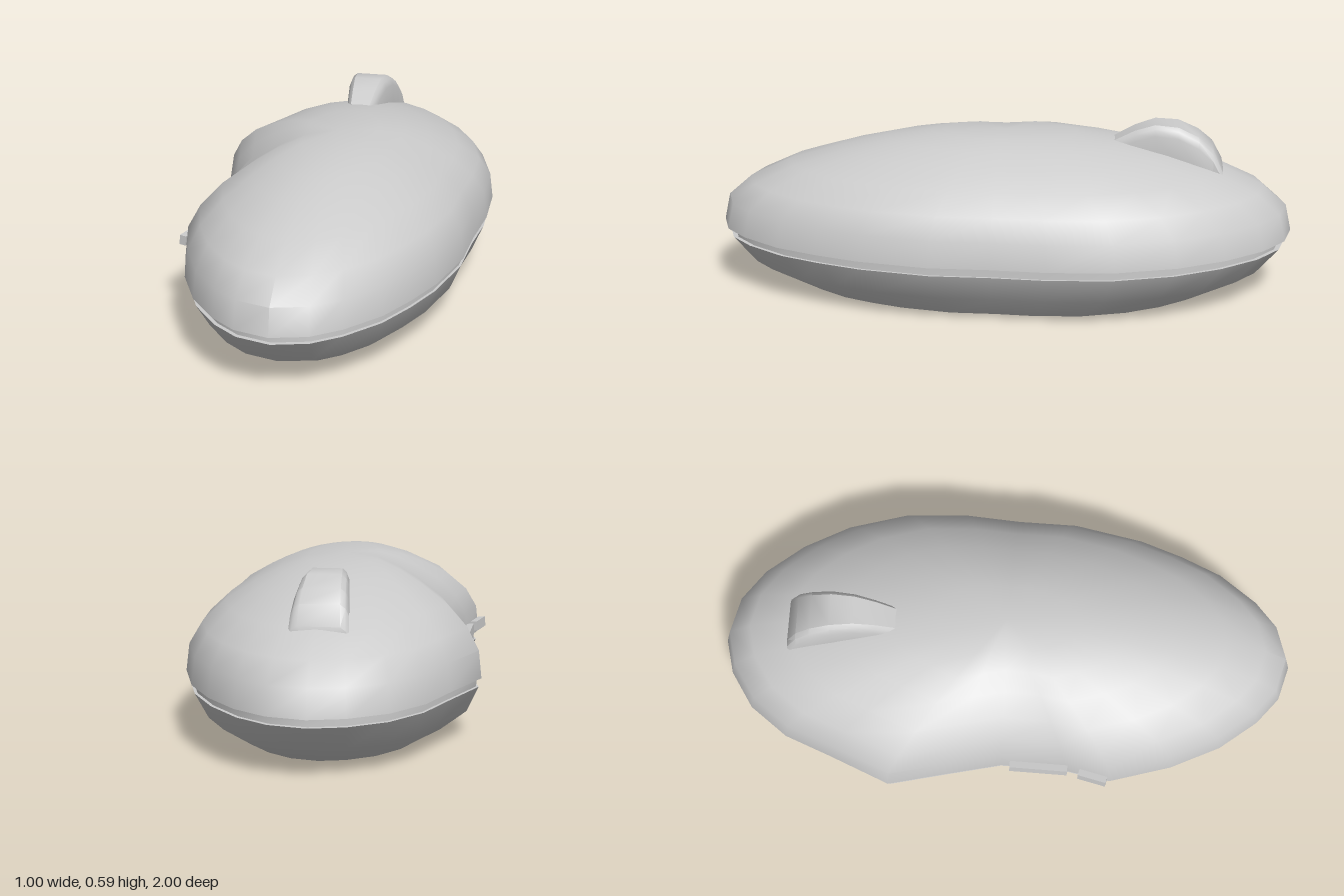
import * as THREE from 'three';
import { mergeVertices, toCreasedNormals } from 'three/addons/utils/BufferGeometryUtils.js';

const material = new THREE.MeshStandardMaterial({ color: 0xcccccc });

// Skin a stack of closed rings (each ring clockwise as seen from the last one).
function loft(rings, crease) {
  const n = rings[0].length;
  const index = [];
  for (let i = 0; i < rings.length - 1; i++) {
    for (let j = 0; j < n; j++) {
      const a = i * n + j, b = i * n + (j + 1) % n;
      index.push(a, a + n, b, b, a + n, b + n);
    }
  }
  const geometry = new THREE.BufferGeometry();
  geometry.setAttribute('position', new THREE.Float32BufferAttribute(rings.flat(2), 3));
  geometry.setIndex(index);
  return toCreasedNormals(mergeVertices(geometry), crease);
}

// Plan outline (x, z): from the wheel end along the left, back along the right with its thumb scoop.
const outline = [
  [0, -1], [0.13, -0.97], [0.24, -0.89], [0.345, -0.76], [0.43, -0.6], [0.49, -0.39], [0.5, -0.17],
  [0.485, 0.02], [0.48, 0.23], [0.43, 0.47], [0.375, 0.62], [0.31, 0.76], [0.21, 0.89], [0.12, 0.965],
  [0, 1], [-0.12, 0.965], [-0.21, 0.89], [-0.31, 0.76], [-0.39, 0.59], [-0.45, 0.38], [-0.42, 0.22],
  [-0.412, 0], [-0.452, -0.18], [-0.5, -0.39], [-0.41, -0.6], [-0.345, -0.76], [-0.245, -0.89], [-0.12, -0.97],
];
const ring = ([scale, y]) => outline.map(([x, z]) => [x * scale, y, z * scale]);

export function createModel() {
  const group = new THREE.Group();
  const add = (name, geometry) => {
    const mesh = new THREE.Mesh(geometry, material);
    mesh.name = name;
    group.add(mesh);
    return mesh;
  };

  // Flat base, lower shell, seam groove and domed upper shell
  add('base', loft([[0, 0], [0.715, 0]].map(ring), 0.75));
  add('lowerShell', loft([[0.715, 0], [0.9, 0.085], [0.982, 0.177], [0.965, 0.177]].map(ring), 0.75));
  add('seamGroove', loft([[0.965, 0.177], [0.965, 0.208]].map(ring), 0.75));
  add('upperShell', loft([
    [0.965, 0.208], [1, 0.208], [0.98, 0.3], [0.9, 0.37], [0.76, 0.435],
    [0.58, 0.488], [0.42, 0.525], [0.25, 0.55], [0, 0.557],
  ].map(ring), 0.75));

  // Scroll wheel: wedge widening toward the tip, rounded along its top (z, half width, top y)
  const stations = [
    [-0.38, 0.05, 0.53], [-0.45, 0.06, 0.567], [-0.52, 0.07, 0.59], [-0.6, 0.08, 0.584],
    [-0.67, 0.087, 0.552], [-0.72, 0.093, 0.51], [-0.755, 0.098, 0.445],
  ];
  const sections = stations.map(([z, w, y]) => [
    [w, y - 0.12, z], [w, y - 0.035, z], [w * 0.88, y - 0.012, z], [w * 0.7, y, z],
    [-w * 0.7, y, z], [-w * 0.88, y - 0.012, z], [-w, y - 0.035, z], [-w, y - 0.12, z],
  ]);
  const cap = ([z, , y]) => sections[0].map(() => [0, y - 0.06, z]);
  const wheel = add('scrollWheel',
    loft([cap(stations[0]), ...sections, cap(stations.at(-1))], 0.6));
  wheel.position.x = -0.006;

  // Two thumb buttons in the scoop (x, z, length, turn)
  [[-0.427, 0.13, 0.2, -0.03], [-0.452, 0.318, 0.1, -0.24]].forEach(([x, z, length, turn], i) => {
    const button = add(i ? 'frontThumbButton' : 'rearThumbButton', new THREE.BoxGeometry(0.024, 0.034, length));
    button.position.set(x, 0.245, z);
    button.rotation.set(0, turn, -0.1);
  });

  return group;
}
